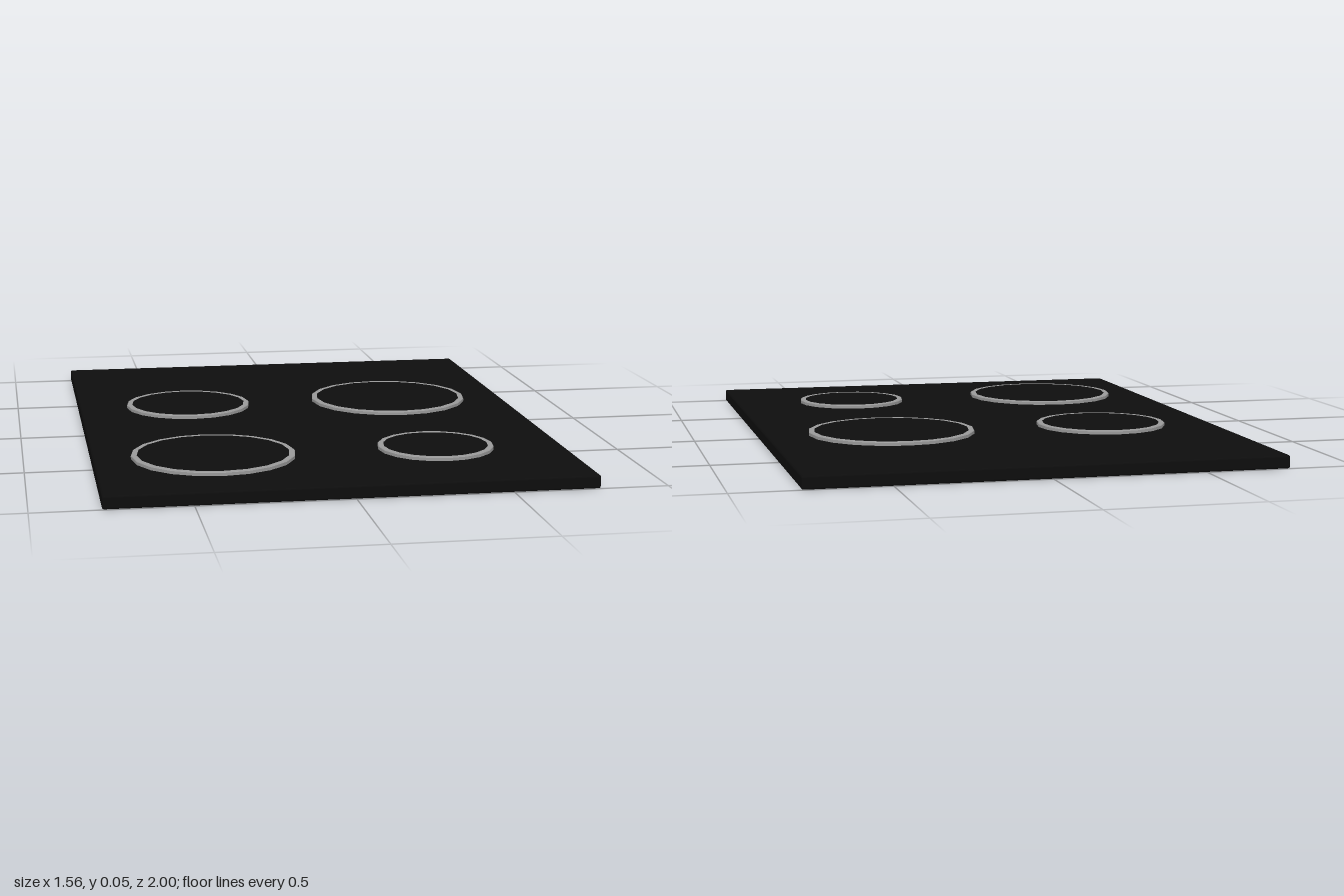
import * as THREE from 'three';
import { RoundedBoxGeometry } from 'three/addons/geometries/RoundedBoxGeometry.js';
import { toCreasedNormals } from 'three/addons/utils/BufferGeometryUtils.js';

const black = new THREE.MeshStandardMaterial({ color: 0x0d0d0d });
const grey = new THREE.MeshStandardMaterial({ color: 0x999999 });

const WIDTH = 1.56, PLATE_TOP = 0.043, BURNER_TOP = 0.055, RIM = 0.019, SIDES = 20;

// Plate with softened edges spanning z0..z1
function plate(name, z0, z1) {
  const geometry = new RoundedBoxGeometry(WIDTH, PLATE_TOP, z1 - z0, 2, 0.007);
  const mesh = new THREE.Mesh(geometry, black);
  mesh.name = name;
  mesh.position.set(0, PLATE_TOP / 2, (z0 + z1) / 2);
  return mesh;
}

// Raised burner: grey outer wall and rim around a dark flush disc
function burner(name, x, z, radius) {
  const group = new THREE.Group();
  group.name = name;
  const profile = [
    [radius, PLATE_TOP - 0.003],
    [radius, BURNER_TOP - 0.002],
    [radius - 0.002, BURNER_TOP],
    [radius - RIM, BURNER_TOP],
  ].map(([r, y]) => new THREE.Vector2(r, y));
  const rim = new THREE.Mesh(toCreasedNormals(new THREE.LatheGeometry(profile, SIDES), 0.6), grey);
  rim.name = 'burnerRim';
  const disc = new THREE.Mesh(new THREE.CircleGeometry(radius - RIM, SIDES).rotateX(-Math.PI / 2), black);
  disc.name = 'burnerDisc';
  disc.position.y = BURNER_TOP;
  group.add(rim, disc);
  group.position.set(x, 0, z);
  return group;
}

export function createModel() {
  const model = new THREE.Group();
  model.name = 'cooktop';

  // Cooking surface and the narrow strip behind it
  model.add(plate('cookingPlate', -0.69, 1), plate('rearPlate', -1, -0.69));

  // Four burners of different sizes
  model.add(
    burner('backRightBurner', -0.388, -0.242, 0.223),
    burner('backLeftBurner', 0.356, -0.244, 0.283),
    burner('frontRightBurner', -0.389, 0.547, 0.269),
    burner('frontLeftBurner', 0.353, 0.547, 0.193),
  );
  return model;
}
